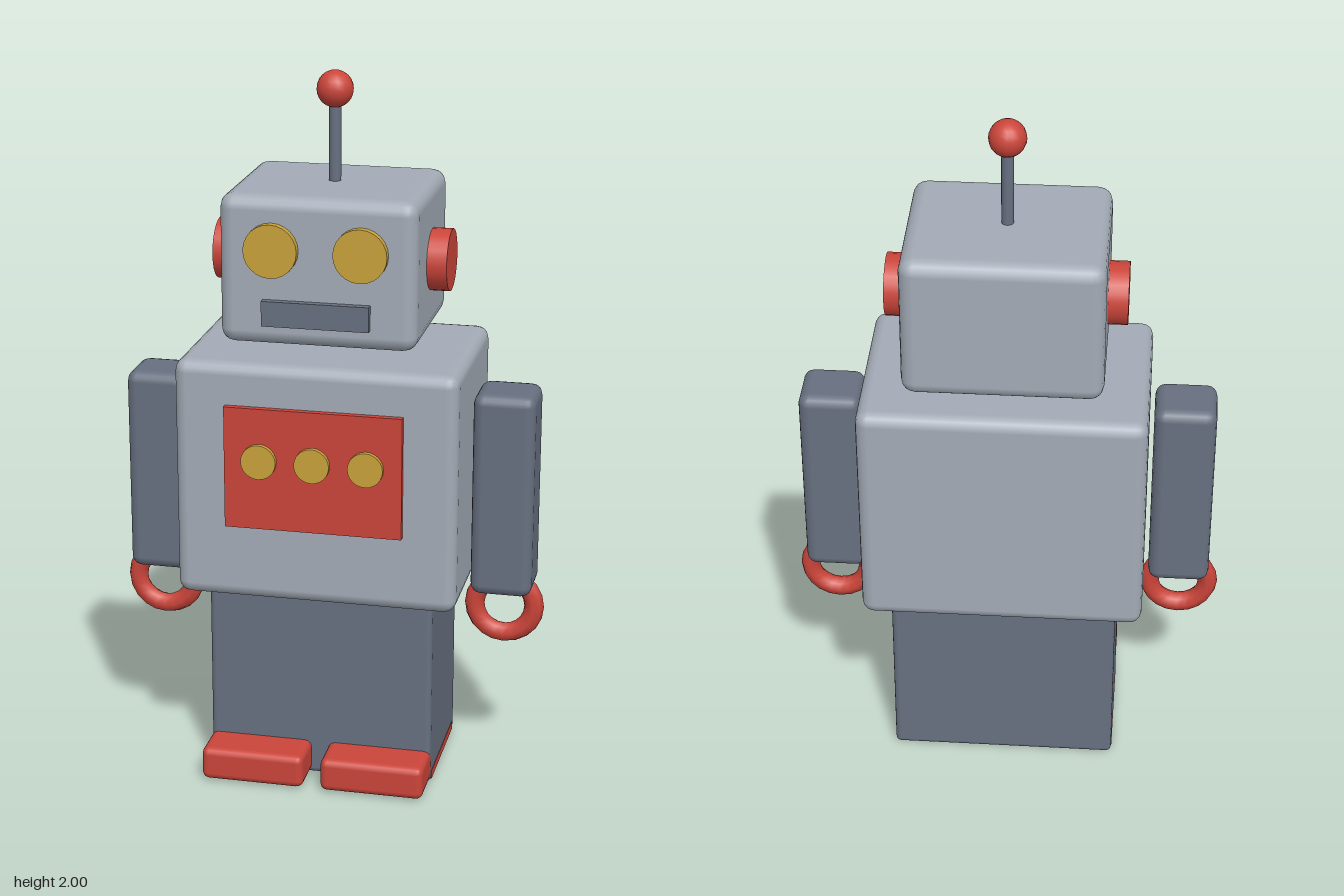
import * as THREE from 'three';
import { RoundedBoxGeometry } from 'three/addons/geometries/RoundedBoxGeometry.js';

const material = (name, color) => {
  const m = new THREE.MeshStandardMaterial({ color });
  m.name = name;
  return m;
};

export function createModel() {
  const robot = new THREE.Group();
  robot.name = 'toyRobot';
  const silver = material('silver grey', 0xa3abb6);
  const slate = material('slate grey', 0x677080);
  const red = material('red', 0xcb453a);
  const gold = material('gold', 0xc9a23c);

  const add = (name, geometry, mat, x, y, z) => {
    const mesh = new THREE.Mesh(geometry, mat);
    mesh.name = name;
    mesh.position.set(x, y, z);
    robot.add(mesh);
    return mesh;
  };
  // Box given by its limits; r is the edge rounding
  const box = (name, mat, [x0, x1], [y0, y1], [z0, z1], r = 0) => {
    const size = [x1 - x0, y1 - y0, z1 - z0];
    const geometry = r ? new RoundedBoxGeometry(...size, 2, r) : new THREE.BoxGeometry(...size);
    return add(name, geometry, mat, (x0 + x1) / 2, (y0 + y1) / 2, (z0 + z1) / 2);
  };
  // Round disc facing forward
  const disc = (name, mat, r, x, y, z0, z1) => {
    const geometry = new THREE.CylinderGeometry(r, r, z1 - z0, 24).rotateX(Math.PI / 2);
    return add(name, geometry, mat, x, y, (z0 + z1) / 2);
  };

  // Main blocks
  const headZ = -0.023;
  box('head', silver, [-0.272, 0.272], [1.283, 1.697], [-0.257, 0.21], 0.04);
  box('torso', silver, [-0.395, 0.395], [0.553, 1.237], [-0.295, 0.246], 0.035);
  box('legs', slate, [-0.32, 0.32], [0, 0.555], [-0.217, 0.175], 0.016);

  // Face and chest panel
  box('mouth', slate, [-0.148, 0.148], [1.344, 1.414], [0.19, 0.232]);
  box('chestPanel', red, [-0.248, 0.248], [0.772, 1.119], [0.22, 0.264]);
  for (const x of [-0.149, 0, 0.149]) disc('chestButton', gold, 0.049, x, 0.97, 0.25, 0.278);

  // Antenna
  add('antennaRod', new THREE.CylinderGeometry(0.017, 0.017, 0.26, 12), slate, 0, 1.8, headZ);
  add('antennaBall', new THREE.SphereGeometry(0.051, 16, 12), red, 0, 1.949, headZ);

  // Paired parts
  for (const s of [1, -1]) {
    const side = s > 0 ? 'left' : 'right';
    const span = (a, b) => (s > 0 ? [a, b] : [-b, -a]);
    disc(side + 'Eye', gold, 0.074, s * 0.123, 1.552, 0.19, 0.232);
    add(side + 'Ear', new THREE.CylinderGeometry(0.086, 0.086, 0.08, 24).rotateZ(Math.PI / 2),
      red, s * 0.287, 1.491, headZ);
    box(side + 'Arm', slate, span(0.408, 0.581), [0.553, 1.141], [-0.086, 0.086], 0.03);
    add(side + 'Hand', new THREE.TorusGeometry(0.085, 0.028, 8, 20), red, s * 0.497, 0.5, 0);
    box(side + 'Foot', red, span(0.025, 0.3195), [0.005, 0.101], [-0.19, 0.296], 0.02);
    // Sole edge showing along the outside of the legs
    box(side + 'SoleEdge', red, span(0.315, 0.321), [0.005, 0.03], [-0.185, 0.15]);
  }
  return robot;
}
